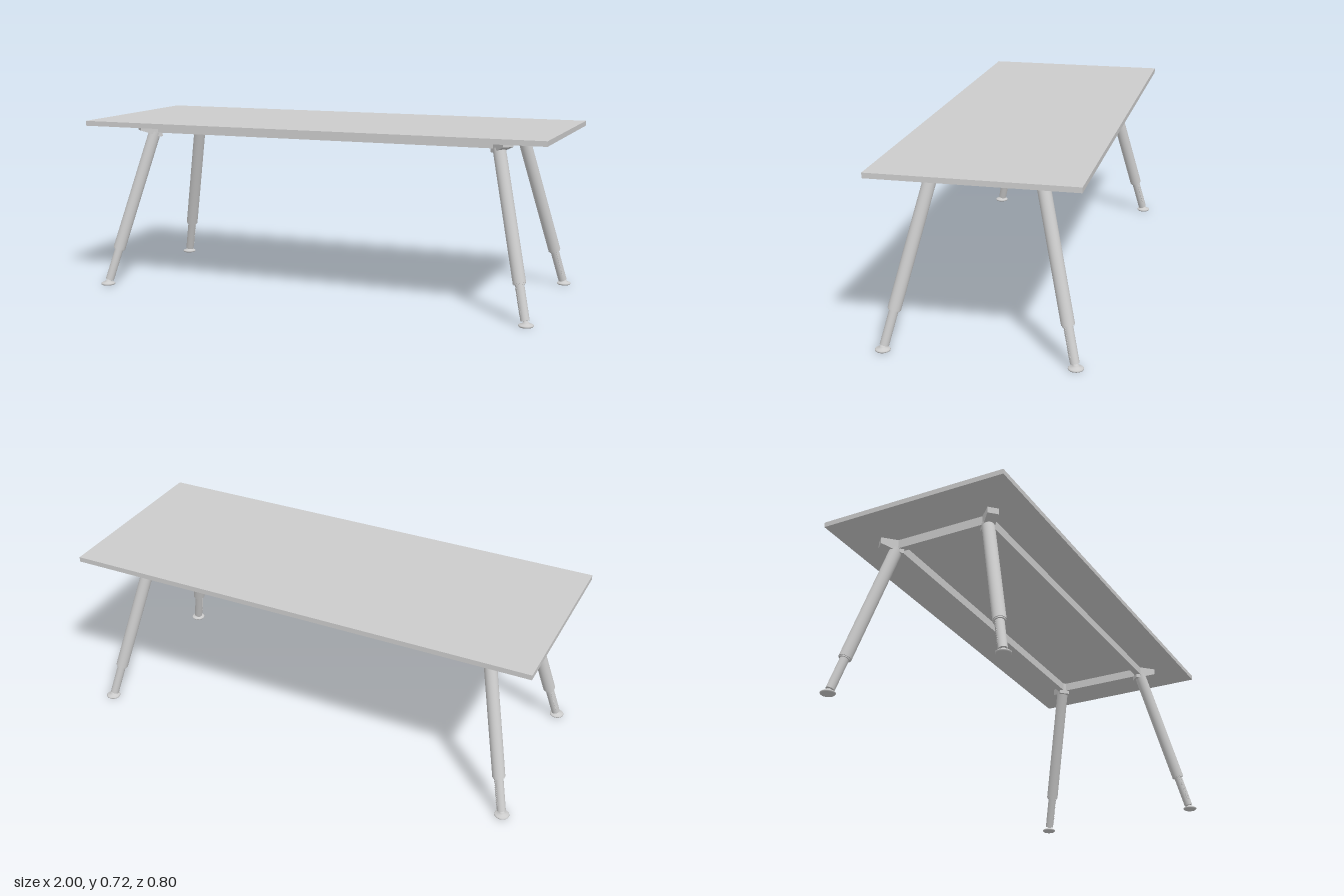
import * as THREE from 'three';

export function createModel() {
  const model = new THREE.Group();
  const mat = new THREE.MeshStandardMaterial({ color: 0xcccccc });

  const add = (parent, name, geometry, x = 0, y = 0, z = 0) => {
    const mesh = new THREE.Mesh(geometry, mat);
    mesh.name = name;
    mesh.position.set(x, y, z);
    parent.add(mesh);
    return mesh;
  };

  // Table top
  add(model, 'tableTop', new THREE.BoxGeometry(2, 0.021, 0.8), 0, 0.7115, 0);

  // Rectangular frame under the top
  const beamX = 0.771, beamZ = 0.208, beamH = 0.038, beamW = 0.028;
  for (const s of [-1, 1]) {
    add(model, 'longBeam', new THREE.BoxGeometry(2 * beamX, beamH, beamW), 0, 0.682, s * beamZ);
    add(model, 'crossBeam', new THREE.BoxGeometry(beamW, beamH, 2 * beamZ), s * beamX, 0.682, 0);
  }

  // Corner bracket: a wedge whose underside is square to the leg
  const bracketShape = new THREE.Shape([
    [-0.256, 0.701], [-0.256, 0.647], [-0.245, 0.645], [-0.16, 0.675], [-0.16, 0.701],
  ].map(([x, y]) => new THREE.Vector2(x, y)));
  const bracketGeo = new THREE.ExtrudeGeometry(bracketShape, { depth: 0.046, bevelEnabled: false });
  bracketGeo.translate(0, 0, -0.023);

  // Leg tubes, measured along the leg's axis
  const span = (radius, from, to) =>
    new THREE.CylinderGeometry(radius, radius, to - from, 32).translate(0, (from + to) / 2, 0);
  const upperGeo = span(0.026, 0.167, 0.703);
  const rimGeo = span(0.023, 0.162, 0.168);
  const lowerGeo = span(0.018, 0.022, 0.18);
  const stemGeo = span(0.008, 0.008, 0.03);
  const notchGeo = new THREE.BoxGeometry(0.01, 0.004, 0.004);

  // Domed levelling foot with a ball neck
  const footGeo = new THREE.LatheGeometry([
    [0, 0], [0.027, 0], [0.03, 0.003], [0.03, 0.006], [0.027, 0.009],
    [0.014, 0.012], [0.012, 0.018], [0.008, 0.021], [0, 0.022],
  ].map(([x, y]) => new THREE.Vector2(x, y)), 32);

  // Four splayed legs, each turned to face its own corner
  for (const sx of [-1, 1]) {
    for (const sz of [-1, 1]) {
      const corner = new THREE.Group();
      corner.name = 'cornerLeg';
      corner.position.set(sx * 0.932, 0, sz * 0.372);
      corner.rotation.y = Math.atan2(-sz, sx);
      model.add(corner);

      add(corner, 'bracket', bracketGeo);
      add(corner, 'foot', footGeo);

      const leg = new THREE.Group();
      leg.name = 'telescopicLeg';
      leg.rotation.z = 0.33;
      corner.add(leg);
      add(leg, 'upperTube', upperGeo);
      add(leg, 'tubeRim', rimGeo);
      add(leg, 'lowerTube', lowerGeo);
      add(leg, 'footStem', stemGeo);
      // Height adjustment teeth on one side of the lower tube
      for (let i = 0; i < 13; i++) {
        add(leg, 'adjustmentTooth', notchGeo, 0, 0.05 + i * 0.009, 0.0175);
      }
    }
  }
  return model;
}
